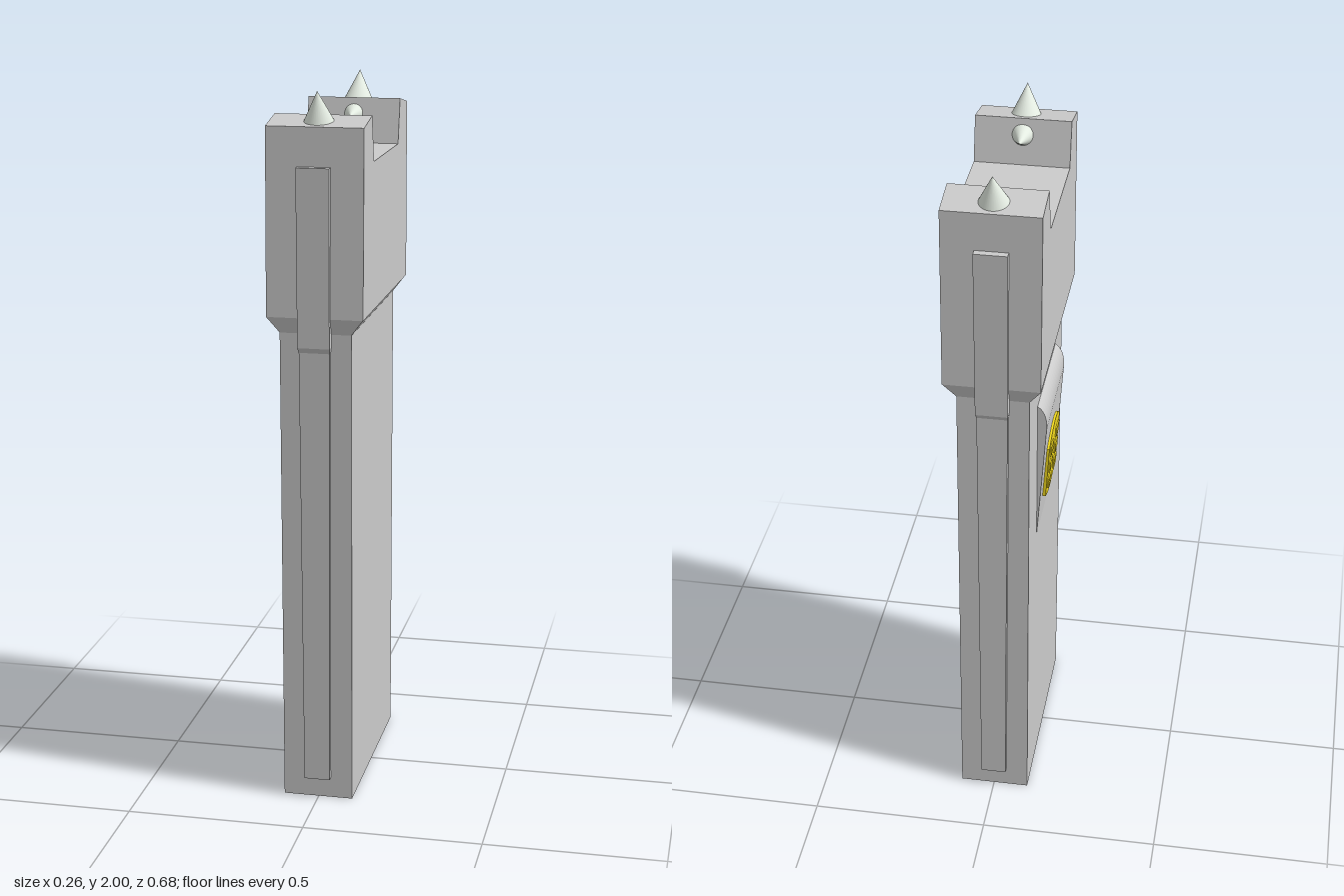
import * as THREE from 'three';

const grey = new THREE.MeshStandardMaterial({ color: 0xcccccc });
const yellow = new THREE.MeshStandardMaterial({ color: 0xf5dc1e });
const metal = new THREE.MeshStandardMaterial({ color: 0xe6eee4 });

function mesh(name, geometry, material = grey) {
  const m = new THREE.Mesh(geometry, material);
  m.name = name;
  return m;
}

// Closed, sharp-edged loft through rectangles [y, x0, x1, z0, z1], from bottom to top
function loft(sections) {
  const rings = sections.map(([y, x0, x1, z0, z1]) =>
    [[x0, y, z1], [x1, y, z1], [x1, y, z0], [x0, y, z0]]);
  const pos = [];
  const quad = (a, b, c, d) => pos.push(...a, ...b, ...c, ...a, ...c, ...d);
  for (let r = 0; r < rings.length - 1; r++) {
    const lo = rings[r], hi = rings[r + 1];
    for (let i = 0; i < 4; i++) {
      const j = (i + 1) % 4;
      quad(lo[i], lo[j], hi[j], hi[i]);
    }
  }
  quad(...[...rings[0]].reverse());
  quad(...rings[rings.length - 1]);
  const g = new THREE.BufferGeometry();
  g.setAttribute('position', new THREE.Float32BufferAttribute(pos, 3));
  g.computeVertexNormals();
  return g;
}

// Extrudes a shape drawn in (z, y) towards -x
function extrudeSide(shape, depth) {
  return new THREE.ExtrudeGeometry(shape, { depth, bevelEnabled: false, curveSegments: 10 })
    .rotateY(-Math.PI / 2);
}

// Smooth cone from a base centre to a tip, both given as (y, z)
function spike(name, radius, base, tip) {
  const from = new THREE.Vector3(0, ...base);
  const axis = new THREE.Vector3(0, ...tip).sub(from);
  const height = axis.length();
  const cone = mesh(name, new THREE.ConeGeometry(radius, height, 32).translate(0, height / 2, 0), metal);
  cone.position.copy(from);
  cone.quaternion.setFromUnitVectors(new THREE.Vector3(0, 1, 0), axis.normalize());
  return cone;
}

export function createModel() {
  const model = new THREE.Group();
  model.name = 'stunDevice';

  // Handle, flaring out to the head at its top
  model.add(mesh('handle', loft([
    [0, -0.1, 0.097, -0.313, 0.29],
    [1.355, -0.1, 0.097, -0.307, 0.31],
    [1.4, -0.133, 0.131, -0.326, 0.328],
  ])));

  // Head with a notch between two prongs
  const headShape = new THREE.Shape([
    [0.328, 1.4], [0.32, 1.91], [0.21, 1.93], [0.182, 1.805],
    [-0.177, 1.805], [-0.205, 1.93], [-0.318, 1.91], [-0.326, 1.4],
  ].map(p => new THREE.Vector2(...p)));
  model.add(mesh('head', extrudeSide(headShape, 0.265).translate(0.132, 0, 0)));

  // Raised strips along the front and back edges
  model.add(mesh('frontStrip', loft([
    [0.06, -0.037, 0.035, 0.27, 0.31],
    [1.305, -0.044, 0.04, 0.27, 0.326],
    [1.32, -0.046, 0.042, 0.27, 0.336],
    [1.805, -0.047, 0.043, 0.27, 0.342],
  ])));
  model.add(mesh('backStrip', loft([
    [0.06, -0.037, 0.035, -0.331, -0.27],
    [1.305, -0.044, 0.04, -0.326, -0.27],
    [1.32, -0.046, 0.042, -0.336, -0.27],
    [1.805, -0.047, 0.043, -0.34, -0.27],
  ])));

  // Electrodes on the tops and inner faces of the prongs
  for (const [side, s] of [['front', 1], ['back', -1]]) {
    model.add(spike(side + 'TopSpike', 0.043, [1.914, 0.266 * s], [2.0, 0.288 * s]));
    model.add(spike(side + 'InnerSpike', 0.031, [1.883, 0.204 * s], [1.885, 0.142 * s]));
  }

  // Tapered switch housing on the right face, rounded at its top
  const housing = new THREE.Shape();
  housing.moveTo(-0.09, 0.82);
  housing.lineTo(-0.09, 1.25);
  housing.lineTo(-0.1, 1.25);
  housing.bezierCurveTo(-0.115, 1.24, -0.127, 1.22, -0.126, 1.18);
  housing.lineTo(-0.1, 0.82);
  model.add(mesh('switchHousing', new THREE.ExtrudeGeometry(housing,
    { depth: 0.34, bevelEnabled: false, curveSegments: 10 }).translate(0, 0, -0.16)));

  // Tilted thumb switch with bowed ends and grip studs
  const thumb = new THREE.Group();
  thumb.name = 'thumbSwitch';
  const plate = new THREE.Shape();
  plate.moveTo(-0.1, -0.09);
  plate.quadraticCurveTo(0, -0.145, 0.1, -0.09);
  plate.lineTo(0.1, 0.07);
  plate.quadraticCurveTo(0, 0.15, -0.1, 0.07);
  plate.closePath();
  thumb.add(mesh('switchPlate', extrudeSide(plate, 0.022), yellow));
  for (const z of [-0.05, 0.05]) {
    for (const y of [0.045, -0.01, -0.065]) {
      const stud = mesh('gripStud', new THREE.BoxGeometry(0.012, 0.032, 0.045), yellow);
      stud.position.set(-0.02, y, z);
      thumb.add(stud);
    }
  }
  thumb.position.set(-0.099, 1.0, 0.005);
  thumb.rotation.z = 0.06;
  model.add(thumb);

  return model;
}
